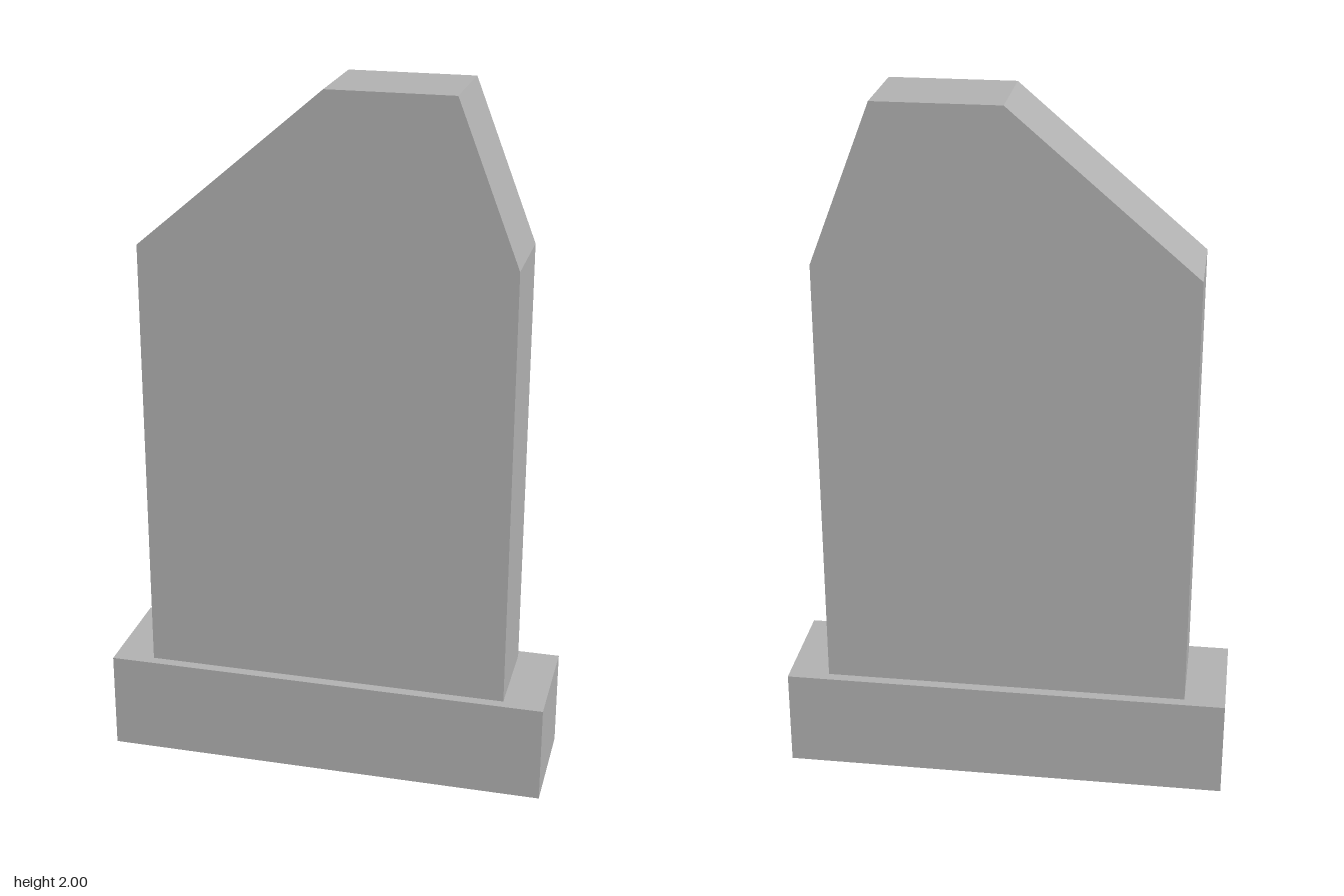
import * as THREE from 'three';

export function createModel() {
  const group = new THREE.Group();
  group.name = 'gravestone';
  const stone = new THREE.MeshStandardMaterial({ color: 0xb0b0b0 });
  stone.name = 'grey stone';

  const baseHeight = 0.285;
  const slabDepth = 0.274;

  // Plinth
  const base = new THREE.Mesh(new THREE.BoxGeometry(1.28, baseHeight, 0.334), stone);
  base.name = 'base';
  base.position.y = baseHeight / 2;
  group.add(base);

  // Upright slab with an uneven, chamfered top
  const outline = new THREE.Shape([
    [-0.523, baseHeight], [0.523, baseHeight], [0.523, 1.553],
    [0.35, 2], [0, 2], [-0.523, 1.553],
  ].map(([x, y]) => new THREE.Vector2(x, y)));
  const slabGeometry = new THREE.ExtrudeGeometry(outline, { depth: slabDepth, bevelEnabled: false });
  slabGeometry.translate(0, 0, -slabDepth / 2);
  const slab = new THREE.Mesh(slabGeometry, stone);
  slab.name = 'slab';
  group.add(slab);

  return group;
}
